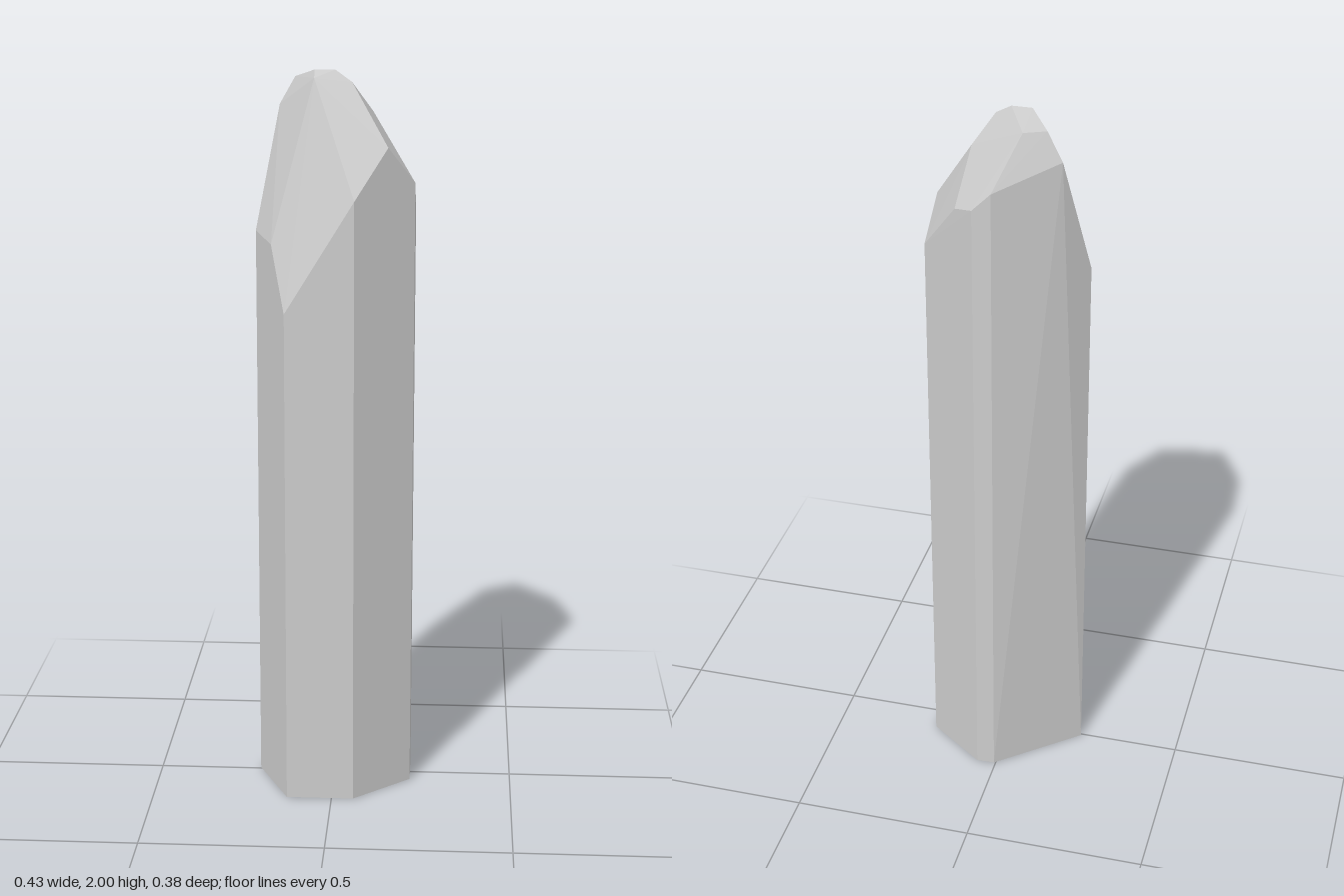
import * as THREE from 'three';
import { ConvexGeometry } from 'three/addons/geometries/ConvexGeometry.js';

export function createModel() {
  const group = new THREE.Group();
  group.name = 'crystal';

  // Shaft edges: x, z, height at which the tip facets cut them
  const columns = [
    [-0.125, 0.19, 1.38],
    [0.06, 0.19, 1.68],
    [0.215, 0.05, 1.71],
    [0.215, -0.075, 1.62],
    [0.055, -0.192, 1.79],
    [0.005, -0.19, 1.84],
    [-0.215, -0.005, 1.57],
  ];

  // Corners of the tip facets: x, y, z
  const tip = [
    // where facets meet on the shaft's sides
    [0.145, 1.81, 0.113],
    [0.11, 1.77, -0.151],
    [-0.165, 1.55, 0.103],
    [-0.155, 1.9, -0.09],
    // crown
    [0.1, 1.89, -0.02],
    [0.045, 1.97, 0.014],
    [0, 2, -0.004],
    [-0.055, 2, -0.004],
    [-0.055, 1.98, 0.016],
    [-0.055, 1.975, -0.105],
    [-0.112, 1.975, -0.079],
  ];

  const points = tip.map((p) => new THREE.Vector3(...p));
  for (const [x, z, top] of columns) {
    points.push(new THREE.Vector3(x, 0, z), new THREE.Vector3(x, top, z));
  }

  const shard = new THREE.Mesh(
    new ConvexGeometry(points),
    new THREE.MeshStandardMaterial({ color: 0xcccccc, flatShading: true })
  );
  shard.name = 'crystalShard';
  group.add(shard);
  return group;
}
